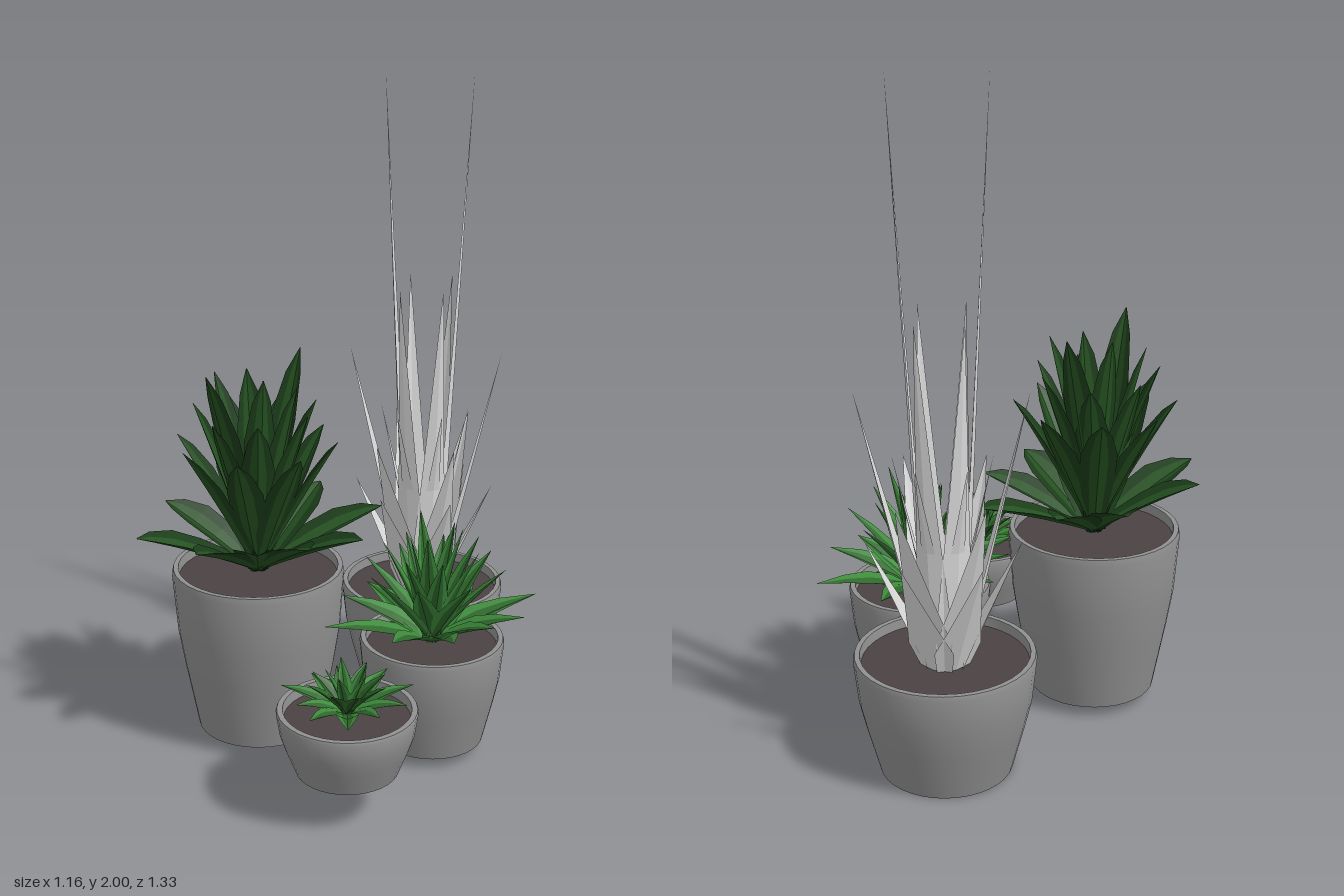
import * as THREE from 'three';
import { toCreasedNormals } from 'three/addons/utils/BufferGeometryUtils.js';

const mat = (name, color, side = THREE.FrontSide) => {
  const m = new THREE.MeshStandardMaterial({ color, side });
  m.name = name;
  return m;
};

// Pot: lathe with rounded belly, thin rim and a recessed soil disc
function addPot(group, name, r, y0, y1, mats) {
  const h = y1 - y0;
  const profile = [[0, 0], [0.735, 0], [0.8, 0.18], [0.88, 0.4], [0.95, 0.62], [1, 0.96]]
    .map(([a, b]) => new THREE.Vector2(a * r, y0 + b * h));
  profile.push(new THREE.Vector2(r * 0.985, y1), new THREE.Vector2(r - 0.019, y1), new THREE.Vector2(r - 0.023, y1 - 0.045));
  const pot = new THREE.Mesh(toCreasedNormals(new THREE.LatheGeometry(profile, 36), 0.6), mats.pot);
  pot.name = name + 'Pot';
  const soil = new THREE.Mesh(new THREE.CircleGeometry(r - 0.021, 36), mats.soil);
  soil.rotation.x = -Math.PI / 2;
  soil.position.y = y1 - 0.03;
  soil.name = name + 'Soil';
  group.add(pot, soil);
}

// Leaf: V-shaped cross-sections swept along a bent spine from the crown to the tip.
// Strips by the margin take material 1, strips by the midrib take material 0.
const S = [-1, -0.5, 0, 0.5, 1];
function leafGeometry(tip, o) {
  const R = Math.hypot(tip[0], tip[2]), a = Math.atan2(tip[2], tip[0]);
  const spine = new THREE.QuadraticBezierCurve(
    new THREE.Vector2(o.root, 0),
    new THREE.Vector2((o.root + R) / 2, tip[1] / 2 + o.lift),
    new THREE.Vector2(R, tip[1]));
  const rows = o.widths.map(([t, w]) => {
    const p = spine.getPoint(t), d = spine.getTangent(t);
    return S.map(s => {
      const cup = Math.abs(s) * w * o.width * o.fold;
      const r = p.x - d.y * cup, y = p.y + d.x * cup, side = s * w * o.width;
      return [r * Math.cos(a) - side * Math.sin(a), y, r * Math.sin(a) + side * Math.cos(a)];
    });
  });
  const parts = [[], []];
  for (let i = 0; i < rows.length - 1; i++)
    for (let j = 0; j < 4; j++) {
      const [A, B, C, D] = [rows[i][j], rows[i][j + 1], rows[i + 1][j + 1], rows[i + 1][j]];
      parts[j === 0 || j === 3 ? 1 : 0].push(...A, ...B, ...C, ...A, ...C, ...D);
    }
  const g = new THREE.BufferGeometry();
  g.setAttribute('position', new THREE.Float32BufferAttribute([...parts[0], ...parts[1]], 3));
  g.addGroup(0, parts[0].length / 3, 0);
  g.addGroup(parts[0].length / 3, parts[1].length / 3, 1);
  g.computeVertexNormals();
  return g;
}

function addLeaves(group, name, y, tips, options, materials) {
  const ring = new THREE.Group();
  ring.name = name;
  ring.position.y = y;
  for (const tip of tips) {
    const leaf = new THREE.Mesh(leafGeometry(tip, options), materials);
    leaf.name = 'leaf';
    ring.add(leaf);
  }
  group.add(ring);
}

// Evenly spaced tips; radius and height vary a little
const ringTips = (n, r, h, start = 0, vary = 0) => Array.from({ length: n }, (_, i) => {
  const a = start + i * Math.PI * 2 / n, k = 1 - vary * (i % 3) / 2;
  return [r * k * Math.cos(a), h * (1 - vary * 0.2 * (i % 3)), r * k * Math.sin(a)];
});

const BROAD = [[0, 0.5], [0.2, 0.7], [0.45, 0.95], [0.68, 1], [0.88, 0.6], [1, 0.03]];
const POINTED = [[0, 0.6], [0.25, 0.9], [0.45, 1], [0.7, 0.65], [1, 0.02]];
const BLADE = [[0, 0.7], [0.2, 1], [0.45, 0.66], [0.7, 0.36], [1, 0.01]];

export function createModel() {
  const model = new THREE.Group();
  model.name = 'pottedPlants';
  const mats = { pot: mat('potGrey', 0x909090), soil: mat('soilBrown', 0x4b4343) };
  const deep = mat('deepGreen', 0x1b3c19, THREE.DoubleSide);
  const dark = mat('darkGreen', 0x245020, THREE.DoubleSide);
  const mid = mat('leafGreen', 0x2d672a, THREE.DoubleSide);
  const bright = mat('brightGreen', 0x3e8a3c, THREE.DoubleSide);
  const pale = mat('paleGrey', 0xdcdcdc, THREE.DoubleSide);

  const spot = (name, x, z) => {
    const g = new THREE.Group();
    g.name = name;
    g.position.set(x, 0, z);
    model.add(g);
    return g;
  };

  // Rosette plants: spreading outer leaves, then steeper rings.
  // Each ring is [count, radius, height, start angle, variation, leaf width]
  const mirrored = [[-0.1, 0.665, 0.18], [0.14, 0.61, 0.06], [0.04, 0.625, 0.06]];
  const rosettes = [
    { name: 'tall', x: -0.26, z: 0.035, r: 0.264, y0: 0.035, y1: 0.56, width: 0.072, shape: BROAD,
      outer: [[0.35, -0.2], [0.13, -0.33], [-0.08, -0.26], [-0.31, -0.07], [-0.32, 0.2], [-0.1, 0.33], [0.06, 0.26], [0.21, 0.24], [0.34, 0.09]]
        .map(([x, z], i) => [x, 0.16 + 0.02 * (i % 2), z]),
      upright: mirrored.flatMap(([x, y, z]) => [[x, y, z], [-x, y, -z]]),
      rings: [[8, 0.25, 0.43, 0, 0.05, 0.055], [7, 0.19, 0.53, 0.4, 0.12, 0.05], [6, 0.12, 0.34, 0.3, 0.1, 0.035]],
      colors: [dark, deep], core: [mid, dark] },
    { name: 'medium', x: 0.28, z: 0.04, r: 0.22, y0: 0.035, y1: 0.37, width: 0.052, shape: POINTED,
      outer: [[0.3, -0.18], [0.28, 0.04], [0.1, -0.3], [-0.08, -0.24], [-0.23, -0.18], [-0.28, -0.02], [-0.3, 0.17], [-0.08, 0.28], [0.09, 0.21], [0.2, 0.13]]
        .map(([x, z], i) => [x, 0.1 + 0.02 * (i % 2), z]),
      upright: ringTips(5, 0.1, 0.39, 0.4, 0.3),
      rings: [[8, 0.22, 0.26, 0.1, 0.1, 0.042], [7, 0.15, 0.32, 0.35, 0.15, 0.036]],
      colors: [mid, bright], core: [mid, bright] },
    { name: 'small', x: 0.095, z: 0.465, r: 0.202, y0: 0.14, y1: 0.33, width: 0.032, shape: POINTED,
      outer: ringTips(10, 0.2, 0.06, -0.5, 0.25),
      upright: ringTips(5, 0.07, 0.145, 0.5, 0.1),
      rings: [[8, 0.12, 0.11, 0.3, 0.15, 0.027]],
      colors: [mid, bright], core: [dark, mid] },
  ];
  for (const p of rosettes) {
    const g = spot(p.name + 'Plant', p.x, p.z);
    addPot(g, p.name, p.r, p.y0, p.y1, mats);
    const y = p.y1 - 0.02;
    const common = { root: 0.006, lift: 0.015, fold: 0.4, widths: p.shape };
    addLeaves(g, 'outerLeaves', y, p.outer, { ...common, width: p.width }, p.colors);
    addLeaves(g, 'uprightLeaves', y, p.upright, { ...common, width: p.width * 0.68 }, p.colors);
    p.rings.forEach(([n, r, h, start, vary, width], i) =>
      addLeaves(g, 'innerLeaves', y, ringTips(n, r, h, start, vary), { ...common, width },
        i === p.rings.length - 1 ? p.core : p.colors));
  }

  // Spiky pale plant: aligned six-fold rings of straight blades, two of them very tall
  const g = spot('spikyPlant', 0.19, -0.4);
  addPot(g, 'spiky', 0.264, 0, 0.36, mats);
  const y = 0.32, blades = [pale, pale];
  const straight = { root: 0.06, lift: 0, fold: 0.25, widths: BLADE };
  // Raise the two blades that point to either side
  const raised = (r, h, top) => ringTips(6, r, h).map((t, i) => i % 3 ? t : [t[0], top - y, t[2]]);
  addLeaves(g, 'tallBlades', y, raised(0.134, 1.04, 2), { ...straight, width: 0.054 }, blades);
  addLeaves(g, 'starBlades', y, raised(0.24, 0.56, 1.14), { ...straight, width: 0.072 }, blades);
  addLeaves(g, 'lowBlades', y, ringTips(6, 0.22, 0.38), { ...straight, width: 0.075 }, blades);
  addLeaves(g, 'coreBlades', y, ringTips(6, 0.14, 0.64), { ...straight, root: 0.01, width: 0.045 }, blades);

  return model;
}
